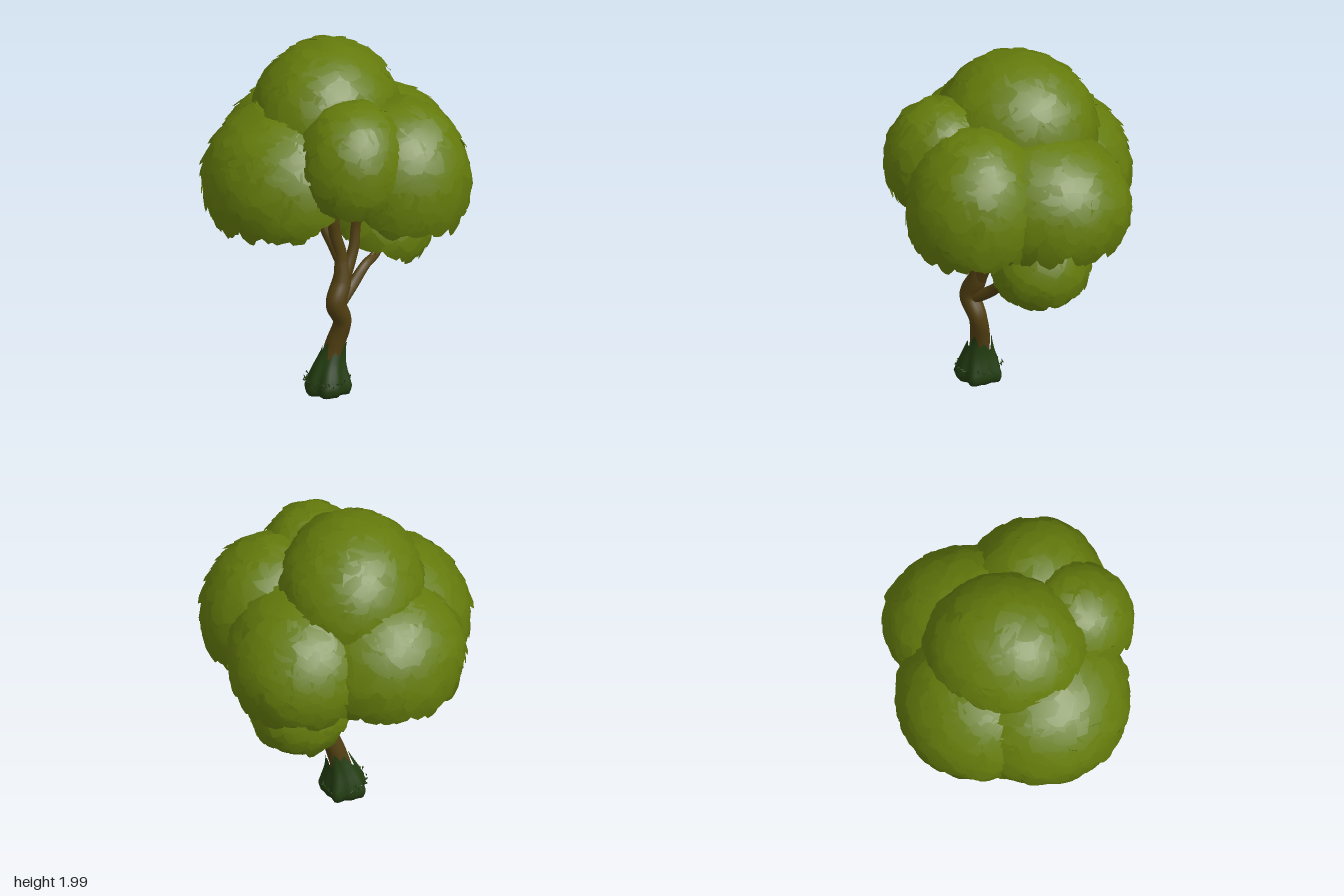
import * as THREE from 'three';
import { mergeGeometries } from 'three/addons/utils/BufferGeometryUtils.js';

const V = (x, y, z) => new THREE.Vector3(x, y, z);

// Leafy domes: name, centre, radii, lowest leaf (as cosine from the top),
// and how strongly the rim rises on the side facing the trunk
const DOMES = [
  ['topCrown', V(-0.105, 1.55, 0), V(0.395, 0.425, 0.437), -0.2, 0],
  ['frontRightCrown', V(-0.245, 1.23, 0.2), V(0.48, 0.455, 0.49), -0.33, 0.9],
  ['backRightCrown', V(-0.29, 1.23, -0.12), V(0.45, 0.44, 0.45), -0.3, 0.4],
  ['backLeftCrown', V(0.13, 1.23, -0.21), V(0.41, 0.42, 0.485), -0.3, 0.5],
  ['leftCrown', V(0.35, 1.27, 0.1), V(0.385, 0.45, 0.375), -0.36, 0.9],
  ['frontLeftCrown', V(0.165, 1.42, 0.35), V(0.29, 0.365, 0.312), -0.45, 0.4],
  ['lowCrown', V(0.15, 0.87, -0.21), V(0.27, 0.265, 0.265), -0.48, 0.45],
];

function makeRandom(seed) {
  return () => {
    seed = (seed * 1664525 + 1013904223) >>> 0;
    return seed / 4294967296;
  };
}

// Tapered limb along a smooth path; radii are spread evenly over the points
function limbGeometry(points, radii, sides = 10) {
  const curve = new THREE.CatmullRomCurve3(points);
  const segments = points.length * 6;
  const geo = new THREE.TubeGeometry(curve, segments, 1, sides, false);
  const pos = geo.attributes.position, v = V(0, 0, 0);
  for (let i = 0; i <= segments; i++) {
    const centre = curve.getPointAt(i / segments);
    const f = (i / segments) * (radii.length - 1);
    const k = Math.min(Math.floor(f), radii.length - 2);
    const r = THREE.MathUtils.lerp(radii[k], radii[k + 1], f - k);
    for (let j = 0; j <= sides; j++) {
      const n = i * (sides + 1) + j;
      v.fromBufferAttribute(pos, n).sub(centre).multiplyScalar(r).add(centre);
      pos.setXYZ(n, v.x, v.y, v.z);
    }
  }
  return geo;
}

// True where a leaf would sit deep inside another dome
function isBuried(p, own) {
  return DOMES.some((d, i) => i !== own && p.y > d[1].y - 0.26
    && p.clone().sub(d[1]).divide(d[2]).length() < 0.82);
}

// Dome of overlapping leaf plates, hollow and open underneath
function domeGeometry(index) {
  const [, centre, radii, lowest, rise] = DOMES[index];
  const rnd = makeRandom(index * 977 + 31);
  const jitter = (amount) => (rnd() - 0.5) * amount;
  const outward = V(centre.x, 0, centre.z).normalize();
  const size = (radii.x + radii.y + radii.z) / 3;
  const count = Math.round(1500 * size * size * (1 - lowest));
  const rows = [[-1, 0.6], [-0.2, 1], [0.5, 0.85], [1, 0.35]];
  const positions = [], normals = [], indices = [];
  for (let i = 0; i < count; i++) {
    const c = 1 - ((i + 0.5) / count) * (1 - lowest);
    const a = i * 2.39996 + jitter(0.2);
    const s = Math.sqrt(1 - c * c);
    const dir = V(s * Math.cos(a), c, s * Math.sin(a));
    const p = dir.clone().multiply(radii).add(centre);
    const inward = Math.max(0, 0.25 - dir.dot(outward));
    if (c < lowest + inward * rise || isBuried(p, index)) continue;

    // Each plate leans a little off the dome's own slope
    const n = dir.clone().divide(radii).normalize();
    n.add(V(jitter(0.16), jitter(0.16), jitter(0.16))).normalize();
    const down = V(jitter(0.8), -1, jitter(0.8));
    down.addScaledVector(n, -down.dot(n)).normalize();
    const side = down.clone().cross(n);
    const w = 0.07 + rnd() * 0.03, l = 0.072 + rnd() * 0.034;
    const lift = jitter(0.016), tilt = 0.009 + rnd() * 0.01;
    const first = positions.length / 3;
    for (const [v, width] of rows) {
      for (let u = -1; u <= 1; u++) {
        const x = u * w * width * (0.85 + rnd() * 0.25);
        const y = v * l + jitter(0.026);
        const q = p.clone().addScaledVector(side, x).addScaledVector(down, y)
          .addScaledVector(n, lift + tilt * v - (x * x + y * y) / (2 * size));
        const m = q.clone().sub(centre).divide(radii).divide(radii).normalize();
        m.addScaledVector(n, 0.8).normalize();
        positions.push(q.x, q.y, q.z);
        normals.push(m.x, m.y, m.z);
      }
    }
    for (let r = 0; r < 3; r++) {
      for (let k = 0; k < 2; k++) {
        const b = first + r * 3 + k;
        indices.push(b, b + 3, b + 1, b + 1, b + 3, b + 4);
      }
    }
  }
  const geo = new THREE.BufferGeometry();
  geo.setAttribute('position', new THREE.Float32BufferAttribute(positions, 3));
  geo.setAttribute('normal', new THREE.Float32BufferAttribute(normals, 3));
  geo.setIndex(indices);
  return geo;
}

const TRUNK = [V(-0.035, 0.02, 0.2), V(-0.025, 0.15, 0.195), V(0.005, 0.28, 0.18),
  V(0.046, 0.42, 0.182), V(0.026, 0.54, 0.232), V(0.042, 0.65, 0.185), V(0.04, 0.76, 0.155)];

// Mossy root flare with lobes and a ragged upper edge
function mossGeometry() {
  const spine = new THREE.CatmullRomCurve3(TRUNK).getSpacedPoints(200);
  const profile = [[0, 0.112], [0.04, 0.126], [0.1, 0.11], [0.18, 0.084], [0.25, 0.066], [0.4, 0.058]];
  const radiusAt = (y) => {
    const k = Math.max(1, profile.findIndex((q) => q[0] >= y));
    const [a, b] = [profile[k - 1], profile[k]];
    return THREE.MathUtils.mapLinear(y, a[0], b[0], a[1], b[1]);
  };
  const geo = new THREE.CylinderGeometry(1, 1, 1, 48, 12, true);
  const pos = geo.attributes.position;
  for (let i = 0; i < pos.count; i++) {
    const row = Math.round((pos.getY(i) + 0.5) * 12);
    const a = Math.atan2(pos.getZ(i), pos.getX(i));
    const top = 0.25 + 0.03 * Math.sin(3 * a + 1) + 0.025 * Math.sin(7 * a);
    const y = Math.max(0, (row - 1) / 11) * top;
    const lobe = 1 + (0.1 * Math.cos(5 * a + 0.6) + 0.06 * Math.cos(9 * a)) * Math.max(0, 1 - y / 0.27);
    const r = row === 0 ? 0 : radiusAt(y) * lobe;
    const c = spine.find((q) => q.y >= y);
    pos.setXYZ(i, c.x + r * Math.cos(a), y, c.z + r * Math.sin(a));
  }
  geo.computeVertexNormals();
  return geo;
}

// Ring of tiny sprigs around the foot
function sprigGeometry() {
  const rnd = makeRandom(7);
  const parts = [];
  for (let i = 0; i < 48; i++) {
    const a = (i / 48) * Math.PI * 2, r = 0.112 + rnd() * 0.022;
    const g = new THREE.ConeGeometry(0.006, 0.026, 3);
    g.rotateX(rnd() * 3).rotateY(rnd() * 6);
    g.translate(-0.033 + r * Math.cos(a), 0.062 + rnd() * 0.025, 0.2 + r * Math.sin(a));
    parts.push(g);
  }
  return mergeGeometries(parts);
}

export function createModel() {
  const leaf = new THREE.MeshStandardMaterial({ color: 0x647b0c, side: THREE.DoubleSide });
  leaf.name = 'leafGreen';
  const bark = new THREE.MeshStandardMaterial({ color: 0x524012 });
  bark.name = 'barkBrown';
  const moss = new THREE.MeshStandardMaterial({ color: 0x233d11 });
  moss.name = 'mossGreen';

  const tree = new THREE.Group();
  tree.name = 'tree';
  const add = (name, geo, mat) => {
    const mesh = new THREE.Mesh(geo, mat);
    mesh.name = name;
    tree.add(mesh);
  };

  add('trunk', limbGeometry(TRUNK, [0.06, 0.058, 0.055, 0.05, 0.058, 0.056, 0.036], 14), bark);
  add('mossyRoots', mossGeometry(), moss);
  add('rootSprigs', sprigGeometry(), moss);

  // Branches reach into each dome
  const branches = {
    topBranch: [[V(0.04, 0.62, 0.195), V(0.03, 0.78, 0.155), V(0, 0.92, 0.17), V(-0.01, 1.06, 0.18),
      V(-0.07, 1.25, 0.1), V(-0.1, 1.55, 0)], [0.045, 0.038, 0.034, 0.028, 0.022, 0.01]],
    frontRightBranch: [[V(0.03, 0.76, 0.155), V(-0.03, 0.89, 0.165), V(-0.1, 1.02, 0.18),
      V(-0.18, 1.12, 0.22), V(-0.25, 1.35, 0.25)], [0.034, 0.03, 0.025, 0.018, 0.008]],
    backRightBranch: [[V(-0.06, 0.95, 0.17), V(-0.14, 1.1, 0.06), V(-0.22, 1.16, -0.05),
      V(-0.3, 1.35, -0.15)], [0.024, 0.02, 0.016, 0.008]],
    leftBranch: [[V(0.045, 0.64, 0.18), V(0.085, 0.83, 0.095), V(0.095, 0.98, 0.07), V(0.18, 1.12, 0.08),
      V(0.3, 1.18, 0.1), V(0.4, 1.35, 0.1)], [0.042, 0.032, 0.028, 0.024, 0.016, 0.008]],
    frontLeftBranch: [[V(0.17, 1.11, 0.08), V(0.22, 1.17, 0.17), V(0.24, 1.22, 0.27),
      V(0.17, 1.5, 0.33)], [0.02, 0.017, 0.014, 0.008]],
    backLeftBranch: [[V(0.095, 0.95, 0.075), V(0.09, 1.1, -0.04), V(0.12, 1.17, -0.18),
      V(0.14, 1.4, -0.26)], [0.024, 0.02, 0.016, 0.008]],
    lowBranch: [[V(0.04, 0.53, 0.205), V(0.075, 0.6, 0.1), V(0.12, 0.69, 0), V(0.15, 0.73, -0.14),
      V(0.16, 0.9, -0.21)], [0.036, 0.032, 0.026, 0.02, 0.008]],
    lowTwig: [[V(0.13, 0.71, -0.06), V(0.17, 0.78, -0.12), V(0.22, 0.85, -0.2)], [0.016, 0.012, 0.006]],
    leftTwig: [[V(0.22, 1.15, 0.085), V(0.3, 1.16, 0.02), V(0.38, 1.24, -0.08)], [0.014, 0.011, 0.006]],
    frontTwig: [[V(0.24, 1.16, 0.09), V(0.3, 1.17, 0.18), V(0.4, 1.26, 0.24)], [0.014, 0.011, 0.006]],
  };
  for (const [name, [points, radii]] of Object.entries(branches)) {
    add(name, limbGeometry(points, radii), bark);
  }

  DOMES.forEach((d, i) => add(d[0], domeGeometry(i), leaf));
  return tree;
}
